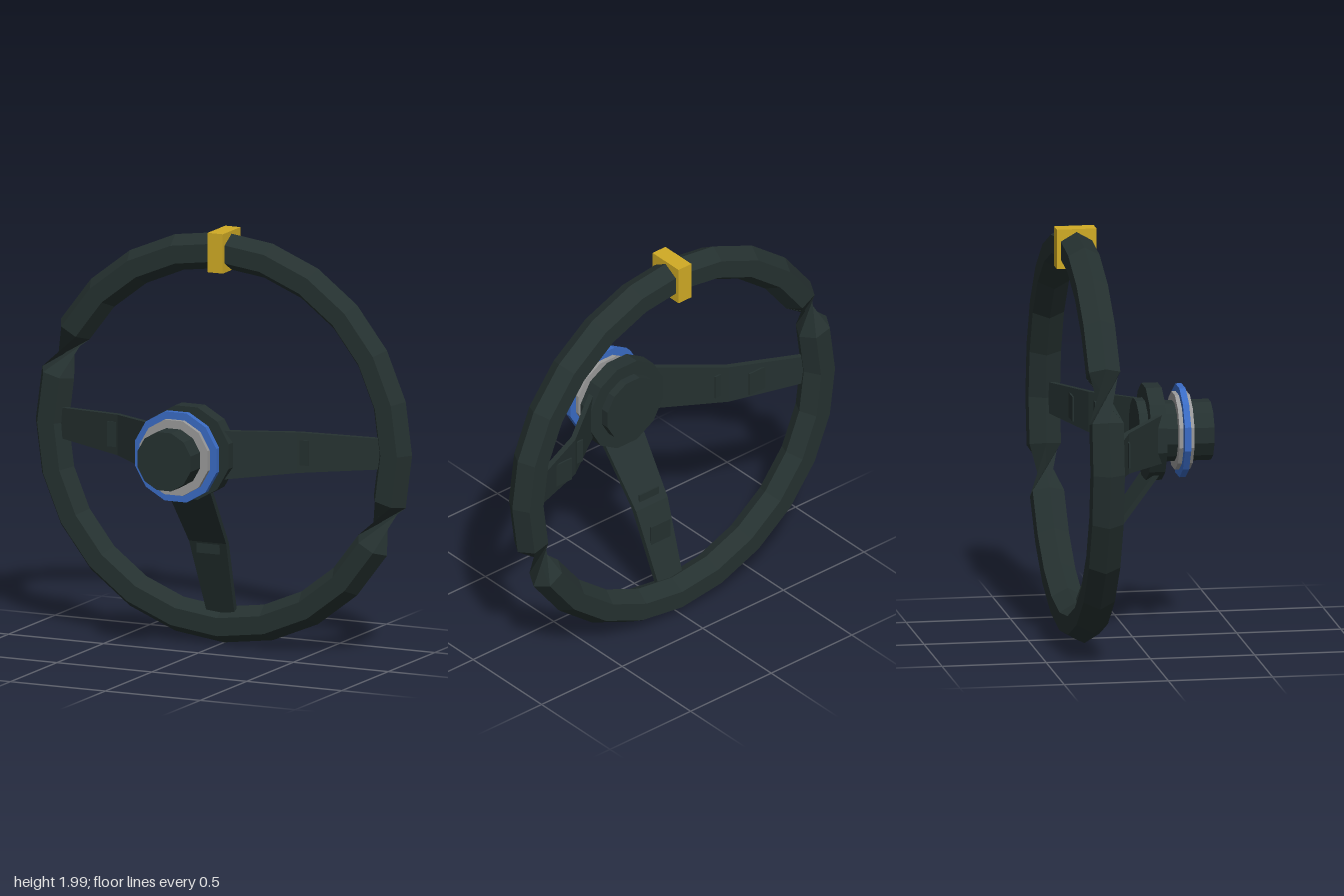
import * as THREE from 'three';

function material(name, color, side = THREE.FrontSide) {
  const m = new THREE.MeshStandardMaterial({ color, flatShading: true, side });
  m.name = name;
  return m;
}

// Six-sided ring swept in 24 steps; half of it is turned over, leaving two pinched twists
function rimGeometry() {
  const steps = 24, sides = 6, R = 0.904, q = 0.087;
  const point = (i, j) => {
    const k = i % steps;
    const a = (k / steps) * Math.PI * 2;
    const s = (j / sides) * Math.PI * 2 + (k >= 11 && k <= 22 ? Math.PI : 0);
    const r = R + q * Math.cos(s);
    return [r * Math.cos(a), r * Math.sin(a), q * Math.sin(s)];
  };
  const pos = [];
  for (let i = 0; i < steps; i++) {
    for (let j = 0; j < sides; j++) {
      const a = point(i, j), b = point(i + 1, j), c = point(i + 1, j + 1), d = point(i, j + 1);
      pos.push(...a, ...b, ...c, ...a, ...c, ...d);
    }
  }
  const g = new THREE.BufferGeometry();
  g.setAttribute('position', new THREE.Float32BufferAttribute(pos, 3));
  g.computeVertexNormals();
  return g;
}

// Bent strip along +x that narrows towards the rim
function spokeGeometry() {
  const line = [[0.17, 0.108], [0.475, -0.113], [0.86, -0.26]];
  const t = 0.015;
  const shape = new THREE.Shape([
    ...line.map(([x, z]) => new THREE.Vector2(x, z - t)),
    ...line.slice().reverse().map(([x, z]) => new THREE.Vector2(x, z + t)),
  ]);
  const g = new THREE.ExtrudeGeometry(shape, { depth: 1, bevelEnabled: false });
  g.translate(0, 0, -0.5);
  g.rotateX(Math.PI / 2);
  const p = g.attributes.position;
  for (let i = 0; i < p.count; i++) {
    const halfWidth = 0.116 - (p.getX(i) - 0.2) * 0.066;
    p.setY(i, p.getY(i) * 2 * halfWidth);
  }
  g.computeVertexNormals();
  return g;
}

export function createModel() {
  const dark = material('dark rubber', 0x253130, THREE.DoubleSide);
  const yellow = material('yellow', 0xd0ab25);
  const blue = material('blue', 0x3a6bc4);
  const grey = material('grey metal', 0x9a9a9a);

  const model = new THREE.Group();
  model.name = 'steeringWheel';
  const wheel = new THREE.Group();
  wheel.name = 'wheel';
  wheel.position.y = 1;
  model.add(wheel);

  const add = (name, geometry, mat, parent = wheel) => {
    const mesh = new THREE.Mesh(geometry, mat);
    mesh.name = name;
    parent.add(mesh);
    return mesh;
  };

  // Rim and top marker
  add('rim', rimGeometry(), dark).position.z = -0.275;
  add('topMarker', new THREE.BoxGeometry(0.08, 0.19, 0.19), yellow).position.set(0, 0.905, -0.275);

  // Twelve-sided discs stacked along the hub axis
  const disc = (name, apothem, z0, z1, mat) => {
    const r = apothem / Math.cos(Math.PI / 12);
    const g = new THREE.CylinderGeometry(r, r, z1 - z0, 12, 1, false, Math.PI / 12);
    g.rotateX(Math.PI / 2);
    add(name, g, mat).position.z = (z0 + z1) / 2;
  };
  disc('hubBackPlate', 0.157, 0.01, 0.06, dark);
  disc('hubFlange', 0.223, 0.053, 0.13, dark);
  disc('hubBarrel', 0.14, 0.12, 0.37, dark);
  disc('hubCollar', 0.18, 0.195, 0.267, grey);
  disc('hubRing', 0.215, 0.215, 0.245, blue);

  // Three spokes, each with two thin plates
  const spokeShape = spokeGeometry();
  const spokes = { leftSpoke: 0, rightSpoke: Math.PI, bottomSpoke: -Math.PI / 2 };
  for (const [name, angle] of Object.entries(spokes)) {
    const group = new THREE.Group();
    group.name = name;
    group.rotation.z = angle;
    wheel.add(group);
    add(name + 'Arm', spokeShape, dark, group);
    const plate = new THREE.BoxGeometry(0.12, 0.12, 0.008);
    add(name + 'InnerPlate', plate, dark, group).position.set(0.47, 0, -0.105);
    add(name + 'OuterPlate', plate, dark, group).position.set(0.61, 0, -0.19);
  }
  return model;
}
